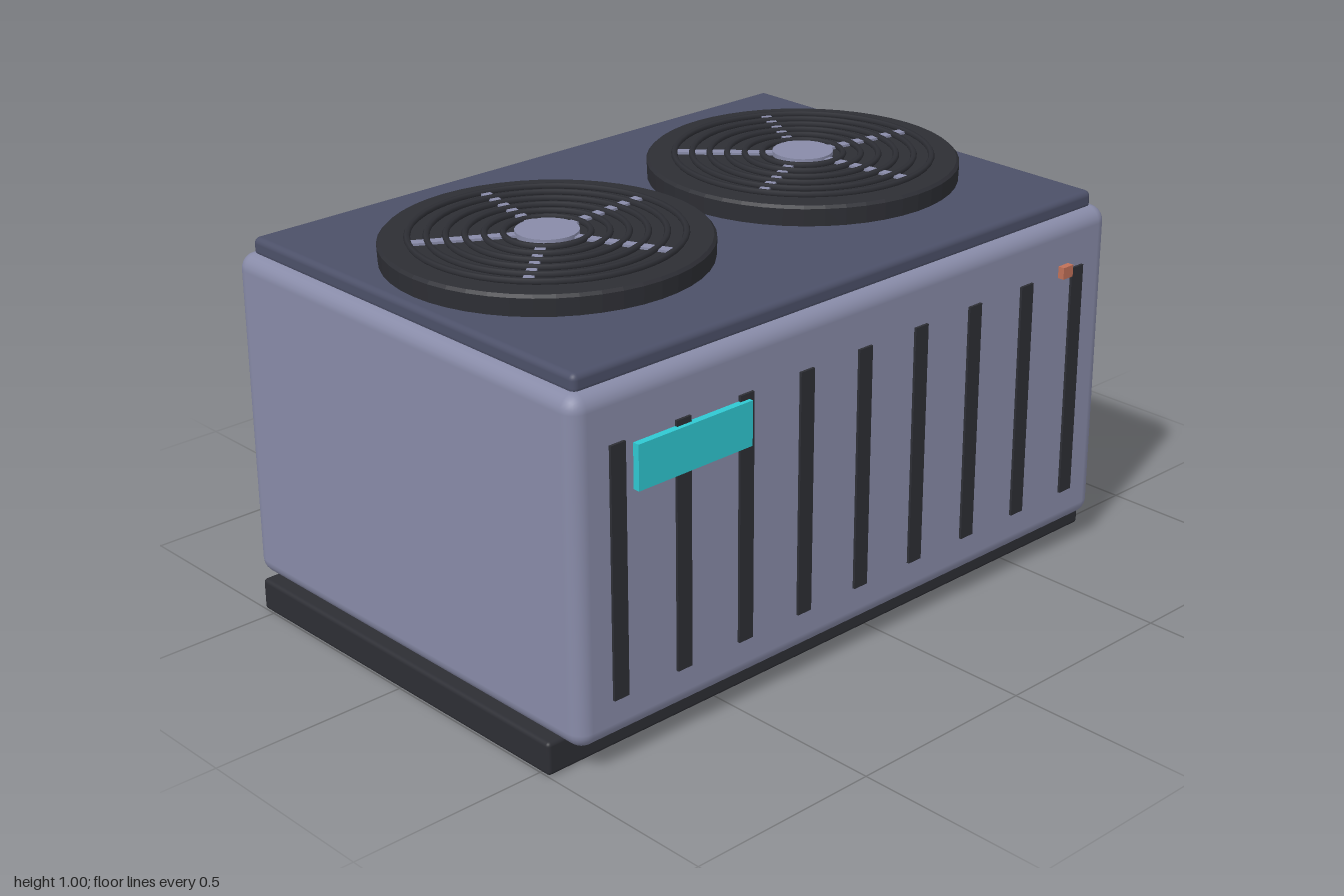
import * as THREE from 'three';
import { RoundedBoxGeometry } from 'three/addons/geometries/RoundedBoxGeometry.js';

const material = (name, color) => {
  const m = new THREE.MeshStandardMaterial({ color });
  m.name = name;
  return m;
};

export function createModel() {
  const steel = material('steel', 0x888ba8);
  const slate = material('slate', 0x4c5068);
  const dark = material('dark', 0x2d2e34);
  const copper = material('copper', 0xc07058);
  const teal = material('teal', 0x2fc8d2);

  const model = new THREE.Group();
  model.name = 'condenserUnit';

  const add = (parent, name, geometry, mat, x = 0, y = 0, z = 0) => {
    const mesh = new THREE.Mesh(geometry, mat);
    mesh.name = name;
    mesh.position.set(x, y, z);
    parent.add(mesh);
    return mesh;
  };
  // Rounded box given by its extents on each axis
  const block = (name, mat, [x0, x1], [y0, y1], [z0, z1], r) =>
    add(model, name, new RoundedBoxGeometry(x1 - x0, y1 - y0, z1 - z0, 3, r), mat,
      (x0 + x1) / 2, (y0 + y1) / 2, (z0 + z1) / 2);

  // Housing
  block('base', dark, [-1, 0.8], [0, 0.082], [-0.537, 0.53], 0.01);
  block('body', steel, [-0.968, 0.766], [0.068, 0.9], [-0.604, 0.597], 0.04);
  block('lid', slate, [-0.936, 0.734], [0.89, 0.937], [-0.573, 0.565], 0.015);

  // Vent slats on the front and back
  for (let i = 0; i < 9; i++) {
    const x = -0.85 + i * 0.187;
    for (const [name, z] of [['frontSlat', 0.592], ['backSlat', -0.599]])
      add(model, name, new THREE.BoxGeometry(0.042, 0.604, 0.023), dark, x, 0.47, z);
  }

  // Front details
  add(model, 'labelPlate', new THREE.BoxGeometry(0.333, 0.108, 0.018), teal, -0.637, 0.704, 0.605);
  add(model, 'indicator', new THREE.BoxGeometry(0.035, 0.03, 0.018), copper, 0.597, 0.772, 0.605);

  // Fans: shroud, blades, hub and concentric guard wires
  const shroud = [[0, 0.93], [0.385, 0.93], [0.387, 0.98], [0.38, 0.987], [0, 0.987]]
    .map(([r, y]) => new THREE.Vector2(r, y));
  const addFan = (name, x, turn) => {
    const fan = new THREE.Group();
    fan.name = name;
    fan.position.set(x, 0, 0 - 0.01);
    model.add(fan);
    const ring = new THREE.LatheGeometry(shroud, 48).toNonIndexed();
    ring.computeVertexNormals();
    add(fan, 'shroud', ring, dark);
    for (let i = 0; i < 5; i++) {
      const a = turn + i * Math.PI * 0.4;
      const blade = add(fan, 'blade', new THREE.BoxGeometry(0.25, 0.008, 0.024), steel,
        Math.cos(a) * 0.185, 0.989, Math.sin(a) * 0.185);
      blade.rotation.y = -a;
    }
    add(fan, 'hub', new THREE.CylinderGeometry(0.075, 0.075, 0.02, 24), steel, 0, 0.989, 0);
    for (let i = 0; i < 6; i++) {
      const wire = add(fan, 'guardWire',
        new THREE.TorusGeometry(0.1 + i * 0.0435, 0.008, 6, 48), dark, 0, 0.992, 0);
      wire.rotation.x = Math.PI / 2;
    }
  };
  addFan('leftFan', -0.515, -0.1);
  addFan('rightFan', 0.312, 0.17);

  // Refrigerant pipes leaving the side and turning down
  const addPipe = (name, mat, r, points) => {
    const pipe = new THREE.Group();
    pipe.name = name;
    model.add(pipe);
    const up = new THREE.Vector3(0, 1, 0);
    const p = points.map((v) => new THREE.Vector3(...v));
    for (let i = 0; i < p.length - 1; i++) {
      const dir = p[i + 1].clone().sub(p[i]);
      const mid = p[i].clone().lerp(p[i + 1], 0.5);
      const tube = add(pipe, 'pipeSection',
        new THREE.CylinderGeometry(r, r, dir.length(), 16), mat, mid.x, mid.y, mid.z);
      tube.quaternion.setFromUnitVectors(up, dir.normalize());
    }
    add(pipe, 'elbow', new THREE.SphereGeometry(r, 16, 10), mat, p[1].x, p[1].y, p[1].z);
  };
  addPipe('copperPipe', copper, 0.029, [[0.7, 0.207, -0.07], [0.963, 0.197, -0.07], [0.963, 0.037, -0.07]]);
  addPipe('steelPipe', steel, 0.037, [[0.7, 0.272, -0.272], [0.928, 0.262, -0.272], [0.928, 0.037, -0.272]]);

  return model;
}
